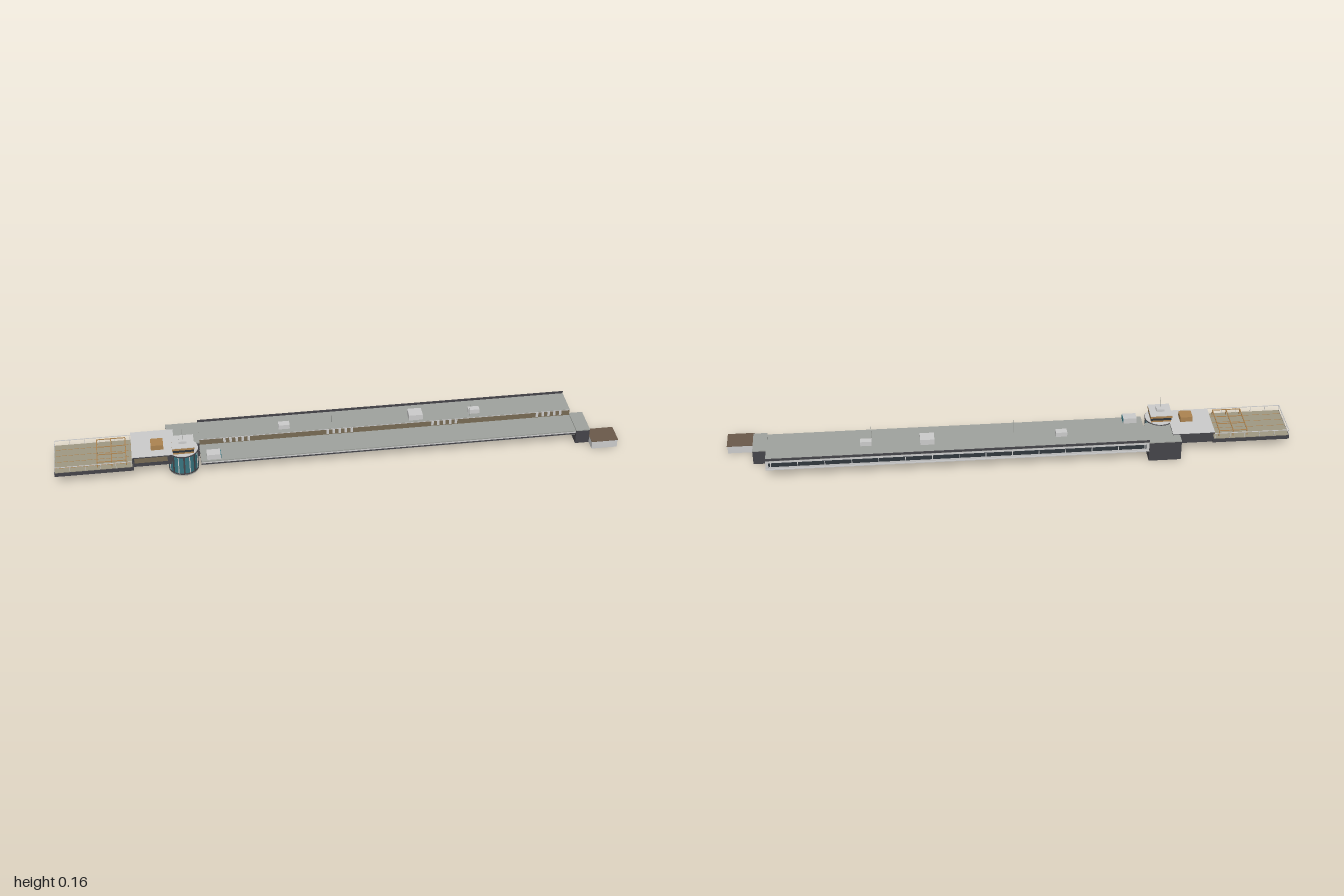
import * as THREE from 'three';

const mat = (name, color) => {
  const m = new THREE.MeshStandardMaterial({ color });
  m.name = name;
  return m;
};

export function createModel() {
  const root = new THREE.Group();
  root.name = 'terminalBuilding';
  const dark = mat('darkCladding', 0x454449);
  const light = mat('lightPanel', 0xcbcbcb);
  const roof = mat('roofGrey', 0x9fa29d);
  const brown = mat('brownPanel', 0x6a594a);
  const olive = mat('oliveWall', 0x786b54);
  const tan = mat('tanTimber', 0xac8350);
  const teal = mat('tealGlass', 0x37747f);
  const glass = mat('darkGlass', 0x2f363c);
  const deck = mat('terraceBoards', 0x9f9883);

  // Box given by its limits on each axis
  const box = (name, m, x0, x1, y0, y1, z0, z1, parent = root) => {
    const mesh = new THREE.Mesh(new THREE.BoxGeometry(x1 - x0, y1 - y0, z1 - z0), m);
    mesh.position.set((x0 + x1) / 2, (y0 + y1) / 2, (z0 + z1) / 2);
    mesh.name = name;
    parent.add(mesh);
    return mesh;
  };
  const drum = (name, m, x, z, r, y0, y1, sides, parent) => {
    const mesh = new THREE.Mesh(new THREE.CylinderGeometry(r, r, y1 - y0, sides), m);
    mesh.position.set(x, (y0 + y1) / 2, z);
    mesh.name = name;
    parent.add(mesh);
  };
  const group = (name) => {
    const g = new THREE.Group();
    g.name = name;
    root.add(g);
    return g;
  };

  // Long hall: low front wing
  const L = -0.49, R = 0.855;
  const wing = group('frontWing');
  box('wingSoffit', roof, L, R, 0.035, 0.037, -0.02, 0.077, wing);
  box('wingBase', dark, L, R, 0.037, 0.043, -0.02, 0.078, wing);
  box('wingFascia', light, L, R, 0.043, 0.049, -0.02, 0.079, wing);
  box('wingRoof', roof, L, R, 0.049, 0.053, -0.02, 0.08, wing);

  // Long hall: taller rear volume
  const hall = group('mainHall');
  box('hallFloor', light, L, R, 0.04, 0.044, -0.125, -0.02, hall);
  box('hallCore', light, L, R, 0.044, 0.075, -0.122, -0.022, hall);
  box('hallEave', light, L, R, 0.075, 0.078, -0.125, -0.018, hall);
  box('hallRoof', roof, L, R, 0.078, 0.079, -0.125, -0.018, hall);
  box('rearParapet', dark, L, R, 0.079, 0.087, -0.125, -0.122, hall);
  box('rearWindowBand', glass, L + 0.01, R - 0.01, 0.053, 0.068, -0.124, -0.122, hall);
  for (let i = 0; i <= 14; i++) {
    const x = L + 0.015 + i * 0.0936;
    box('rearMullion', light, x, x + 0.003, 0.053, 0.068, -0.125, -0.1235, hall);
  }

  // Clerestory facing the front
  box('clerestoryWall', olive, L, R, 0.053, 0.075, -0.022, -0.02, hall);
  for (const start of [-0.405, -0.035, 0.345, 0.73]) {
    for (let i = 0; i < 5; i++) {
      const x = start + i * 0.0215;
      box('clerestoryColumn', light, x, x + 0.009, 0.056, 0.0735, -0.02, -0.0185, hall);
    }
  }

  // Rooftop plant and masts
  const plant = group('rooftopPlant');
  [[-0.185, -0.05, 0.04, 0.025, 0.079, 0.096], [0.29, -0.05, 0.05, 0.044, 0.079, 0.1],
    [0.505, -0.05, 0.04, 0.022, 0.079, 0.096], [-0.445, 0.057, 0.048, 0.034, 0.053, 0.073]]
    .forEach(([x, z, w, d, y0, y1]) => {
      box('plantUnit', light, x - w / 2, x + w / 2, y0, y1, z - d / 2, z + d / 2, plant);
    });
  box('skylightPane', teal, -0.421, -0.419, 0.056, 0.071, 0.042, 0.072, plant);
  for (const x of [-0.017, 0.485]) drum('mast', roof, x, -0.022, 0.0008, 0.075, 0.133, 6, plant);

  // Stair block at the left end, behind the rotunda
  box('stairBlock', dark, -0.605, L, 0, 0.074, -0.124, -0.025);
  box('stairBlockRoof', roof, -0.605, L, 0.074, 0.078, -0.124, 0.0);

  // Lounge between rotunda and terrace
  const lounge = group('lounge');
  box('loungeWall', dark, -0.725, -0.58, 0.04, 0.077, -0.082, 0.062, lounge);
  box('loungeFrontPanel', olive, -0.722, -0.606, 0.056, 0.075, 0.062, 0.064, lounge);
  box('loungeSidePanel', glass, -0.727, -0.725, 0.056, 0.07, -0.075, 0.055, lounge);
  box('loungeRoofEdge', dark, -0.73, -0.58, 0.077, 0.081, -0.086, 0.066, lounge);
  box('loungeRoof', light, -0.73, -0.58, 0.081, 0.083, -0.086, 0.066, lounge);
  box('roofHut', tan, -0.662, -0.618, 0.083, 0.102, -0.012, 0.032, lounge);

  // Rotunda with glazed wall
  const cx = -0.55, cz = 0.031;
  const tower = group('rotunda');
  drum('rotundaBase', roof, cx, cz, 0.053, 0, 0.004, 24, tower);
  drum('rotundaPlinth', dark, cx, cz, 0.053, 0.004, 0.008, 24, tower);
  drum('rotundaGlass', teal, cx, cz, 0.051, 0.008, 0.077, 24, tower);
  drum('rotundaRim', dark, cx, cz, 0.054, 0.077, 0.081, 24, tower);
  drum('rotundaRoof', light, cx, cz, 0.053, 0.081, 0.083, 24, tower);
  for (let i = 0; i < 16; i++) {
    const a = (i / 16) * Math.PI * 2;
    const w = i % 2 ? 0.0015 : 0.003;
    const post = box('rotundaMullion', i % 2 ? light : dark, -w, w, 0.008, 0.077, -0.002, 0.002, tower);
    post.position.x = cx + Math.sin(a) * 0.0505;
    post.position.z = cz + Math.cos(a) * 0.0505;
    post.rotation.y = a;
  }

  // Square control room on top, in stacked bands
  [[tan, 0.036, 0.083, 0.09], [glass, 0.037, 0.09, 0.1], [tan, 0.039, 0.1, 0.108], [light, 0.039, 0.108, 0.11]]
    .forEach(([m, r, y0, y1]) => {
      box('controlRoomBand', m, cx - r, cx + r, y0, y1, cz - r, cz + r, tower);
    });
  box('controlRoomCap', light, cx - 0.014, cx + 0.014, 0.11, 0.12, cz - 0.012, cz + 0.014, tower);
  drum('towerMast', roof, cx, cz + 0.001, 0.0008, 0.12, 0.163, 6, tower);

  // Open terrace with boards, rails and a timber frame
  const terrace = group('terrace');
  box('terraceSlab', dark, -1, -0.725, 0.038, 0.052, -0.085, 0.08, terrace);
  box('terraceFloor', deck, -0.998, -0.73, 0.052, 0.054, -0.083, 0.078, terrace);
  for (let i = 0; i < 4; i++) {
    const z = -0.055 + i * 0.036;
    box('boardJoint', tan, -0.997, -0.73, 0.054, 0.0545, z, z + 0.0015, terrace);
  }
  const rail = (x0, x1, z0, z1) => box('rail', light, x0, x1, 0.0735, 0.0755, z0, z1, terrace);
  rail(-0.999, -0.73, 0.0765, 0.0785);
  rail(-0.999, -0.73, -0.0835, -0.0815);
  rail(-0.999, -0.997, -0.0835, 0.0785);
  for (let i = 0; i < 6; i++) {
    const x = -0.999 + i * 0.053;
    for (const z of [-0.083, 0.0765]) box('railPost', light, x, x + 0.0015, 0.052, 0.0735, z, z + 0.0015, terrace);
  }
  for (let i = 1; i < 4; i++) {
    const z = -0.083 + i * 0.04;
    box('railPost', light, -0.999, -0.9975, 0.052, 0.0735, z, z + 0.0015, terrace);
  }
  for (const x of [-0.85, -0.8, -0.75]) {
    box('frameBeam', tan, x - 0.0015, x + 0.0015, 0.074, 0.077, -0.07, 0.067, terrace);
    for (const z of [-0.07, 0.064]) box('framePost', tan, x - 0.0015, x + 0.0015, 0.054, 0.074, z, z + 0.003, terrace);
  }
  for (const z of [-0.07, -0.025, 0.02, 0.064]) box('frameRafter', tan, -0.85, -0.75, 0.0745, 0.0765, z, z + 0.003, terrace);

  // Right end: link block and open-bottomed entrance annex
  box('linkBlock', dark, R, 0.905, 0, 0.053, -0.025, 0.083);
  box('linkRoof', roof, R, 0.905, 0.053, 0.057, -0.026, 0.084);
  const annex = group('annex');
  for (const z of [0.05, 0.121]) box('annexSideWall', light, 0.905, 0.998, 0, 0.028, z, z + 0.003, annex);
  for (const x of [0.905, 0.995]) box('annexEndWall', light, x, x + 0.003, 0, 0.028, 0.053, 0.121, annex);
  box('annexRoof', brown, 0.903, 1, 0.03, 0.032, 0.047, 0.126, annex);
  box('annexCeiling', light, 0.904, 0.999, 0.028, 0.03, 0.048, 0.125, annex);

  return root;
}
